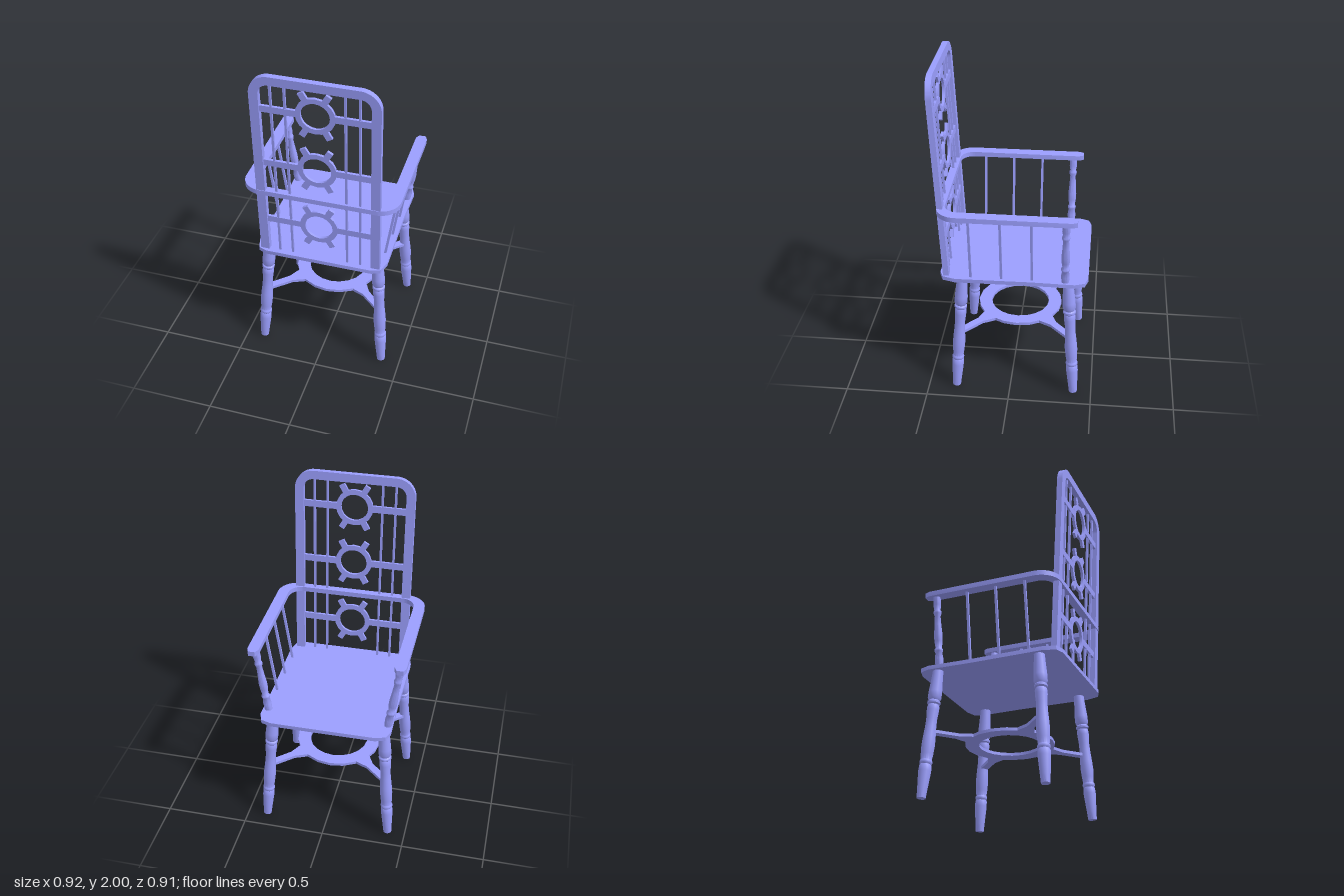
import * as THREE from 'three';
import { toCreasedNormals } from 'three/addons/utils/BufferGeometryUtils.js';

const material = new THREE.MeshStandardMaterial({ color: 0x9b9fff });

function add(parent, name, geometry) {
  const mesh = new THREE.Mesh(geometry, material);
  mesh.name = name;
  parent.add(mesh);
  return mesh;
}

const extrude = (shape, depth) => toCreasedNormals(
  new THREE.ExtrudeGeometry(shape, { depth, bevelEnabled: false, curveSegments: 10 }), 0.5);

// Lying board: shape coordinates are (x, z), top face at the given height
const board = (shape, depth, top) => extrude(shape, depth).rotateX(Math.PI / 2).translate(0, top, 0);

// Upright slab centred on its own thickness
const slab = (shape, depth) => extrude(shape, depth).translate(0, 0, -depth / 2);

const polygon = pts => new THREE.Shape(pts.map(p => new THREE.Vector2(...p)));

// Stands a unit-high geometry (y from 0 to 1) between two points
function span(mesh, from, to) {
  const a = new THREE.Vector3(...from), dir = new THREE.Vector3(...to).sub(a);
  mesh.position.copy(a);
  mesh.scale.y = dir.length();
  mesh.quaternion.setFromUnitVectors(new THREE.Vector3(0, 1, 0), dir.normalize());
}

const lathe = profile => toCreasedNormals(
  new THREE.LatheGeometry(profile.map(p => new THREE.Vector2(...p)), 16), 0.6);

function annulus(outer, inner) {
  const s = new THREE.Shape().absarc(0, 0, outer, 0, Math.PI * 2);
  s.holes.push(new THREE.Path().absarc(0, 0, inner, 0, Math.PI * 2, true));
  return s;
}

const legProfile = [[0, 0], [0.025, 0], [0.028, 0.06], [0.036, 0.2], [0.035, 0.24], [0.031, 0.25],
  [0.036, 0.26], [0.036, 0.275], [0.031, 0.285], [0.035, 0.33], [0.038, 0.4], [0.036, 0.46],
  [0.032, 0.54], [0.031, 0.6], [0.035, 0.67], [0.035, 0.7], [0.031, 0.715], [0.038, 0.725],
  [0.038, 0.74], [0.031, 0.75], [0.039, 0.77], [0.039, 0.82], [0.032, 0.95], [0.031, 1], [0, 1]];

const postProfile = [[0, 0], [0.022, 0], [0.025, 0.12], [0.02, 0.2], [0.025, 0.22], [0.025, 0.25],
  [0.018, 0.27], [0.024, 0.36], [0.025, 0.45], [0.02, 0.6], [0.017, 0.72], [0.023, 0.76],
  [0.023, 0.79], [0.018, 0.81], [0.023, 0.88], [0.021, 1], [0, 1]];

function createBack() {
  const back = new THREE.Group();
  back.name = 'back';
  back.position.set(0.005, 0.78, 0.376);
  back.rotation.x = 0.052;

  // Arched frame, open at the seat
  const W = 0.362, w = 0.309, H = 1.22, h = 1.168, R = 0.115, r = 0.06;
  const f = new THREE.Shape();
  f.moveTo(-W, 0);
  f.lineTo(-w, 0);
  f.lineTo(-w, h - r);
  f.absarc(-w + r, h - r, r, Math.PI, Math.PI / 2, true);
  f.absarc(w - r, h - r, r, Math.PI / 2, 0, true);
  f.lineTo(w, 0);
  f.lineTo(W, 0);
  f.lineTo(W, H - R);
  f.absarc(W - R, H - R, R, 0, Math.PI / 2);
  f.absarc(-W + R, H - R, R, Math.PI / 2, Math.PI);
  add(back, 'backFrame', slab(f, 0.034));

  for (const x of [-0.246, -0.167, 0.165, 0.244]) {
    add(back, 'backSpindle', new THREE.BoxGeometry(0.013, h, 0.013)).position.set(x, h / 2, 0);
  }

  // Cog ornaments: ring, four teeth and two side rails each
  for (const y of [0.24, 0.65, 1.01]) {
    const cog = new THREE.Group();
    cog.name = 'cogOrnament';
    cog.position.y = y;
    add(cog, 'cogRing', slab(annulus(0.112, 0.082), 0.016));
    for (const deg of [60, 120, 240, 300]) {
      const a = deg * Math.PI / 180;
      const tooth = add(cog, 'cogTooth', new THREE.BoxGeometry(0.055, 0.036, 0.016));
      tooth.position.set(Math.cos(a) * 0.13, Math.sin(a) * 0.13, 0);
      tooth.rotation.z = a;
    }
    for (const s of [-1, 1]) {
      add(cog, 'cogRail', new THREE.BoxGeometry(0.21, 0.04, 0.016)).position.x = s * 0.207;
    }
    back.add(cog);
  }
  return back;
}

// U-shaped rail with rounded rear corners and clipped front ends
function armRailShape() {
  const s = new THREE.Shape(), W = 0.46, w = 0.393, R = 0.12, r = 0.08;
  s.moveTo(W, -0.358);
  s.lineTo(W, 0.42 - R);
  s.absarc(W - R, 0.42 - R, R, 0, Math.PI / 2);
  s.absarc(-W + R, 0.42 - R, R, Math.PI / 2, Math.PI);
  s.lineTo(-W, -0.358);
  s.lineTo(-0.447, -0.387);
  s.lineTo(-0.408, -0.387);
  s.lineTo(-w, -0.358);
  s.lineTo(-w, 0.375 - r);
  s.absarc(-w + r, 0.375 - r, r, Math.PI, Math.PI / 2, true);
  s.absarc(w - r, 0.375 - r, r, Math.PI / 2, 0, true);
  s.lineTo(w, -0.358);
  s.lineTo(0.408, -0.387);
  s.lineTo(0.447, -0.387);
  return s;
}

function createStretcher() {
  const g = new THREE.Group();
  g.name = 'stretcher';
  g.position.set(-0.003, 0, -0.03);
  add(g, 'stretcherRing', board(annulus(0.26, 0.18), 0.018, 0.399));
  // Flared arms reaching out to the legs
  const arm = board(polygon([[0.235, -0.055], [0.27, -0.045], [0.33, -0.023], [0.495, -0.022],
    [0.495, 0.022], [0.33, 0.023], [0.27, 0.045], [0.235, 0.055]]), 0.018, 0.399);
  const lean = Math.atan2(0.335, 0.365);
  for (const a of [lean, Math.PI - lean, Math.PI + lean, -lean]) {
    add(g, 'stretcherArm', arm).rotation.y = a;
  }
  return g;
}

export function createModel() {
  const chair = new THREE.Group();
  chair.name = 'armchair';

  // Seat board with clipped corners and slightly waisted sides
  const half = [[0.31, -0.456], [0.372, -0.437], [0.393, -0.38], [0.388, -0.12],
    [0.394, 0.32], [0.372, 0.395], [0.32, 0.415]];
  const outline = [...half, ...half.map(([x, z]) => [-x, z]).reverse()];
  add(chair, 'seat', board(polygon(outline), 0.024, 0.787)).position.x = 0.003;

  chair.add(createBack());
  add(chair, 'armRail', board(armRailShape(), 0.03, 1.23));

  // Turned legs, splayed outward
  const leg = lathe(legProfile);
  for (const [topX, footX] of [[-0.342, -0.392], [0.331, 0.382]]) {
    for (const [topZ, footZ] of [[0.285, 0.331], [-0.339, -0.39]]) {
      span(add(chair, 'leg', leg), [footX, 0.003, footZ], [topX, 0.77, topZ]);
    }
  }

  // Arm posts and spindles leaning outward
  const post = lathe(postProfile);
  const spindle = new THREE.BoxGeometry(0.014, 1, 0.014).translate(0, 0.5, 0);
  for (const s of [-1, 1]) {
    span(add(chair, 'armPost', post), [s * 0.361, 0.78, -0.323], [s * 0.424, 1.205, -0.323]);
    for (const z of [-0.128, 0.051, 0.231]) {
      span(add(chair, 'armSpindle', spindle), [s * 0.362, 0.78, z], [s * 0.424, 1.205, z]);
    }
  }

  chair.add(createStretcher());
  return chair;
}
